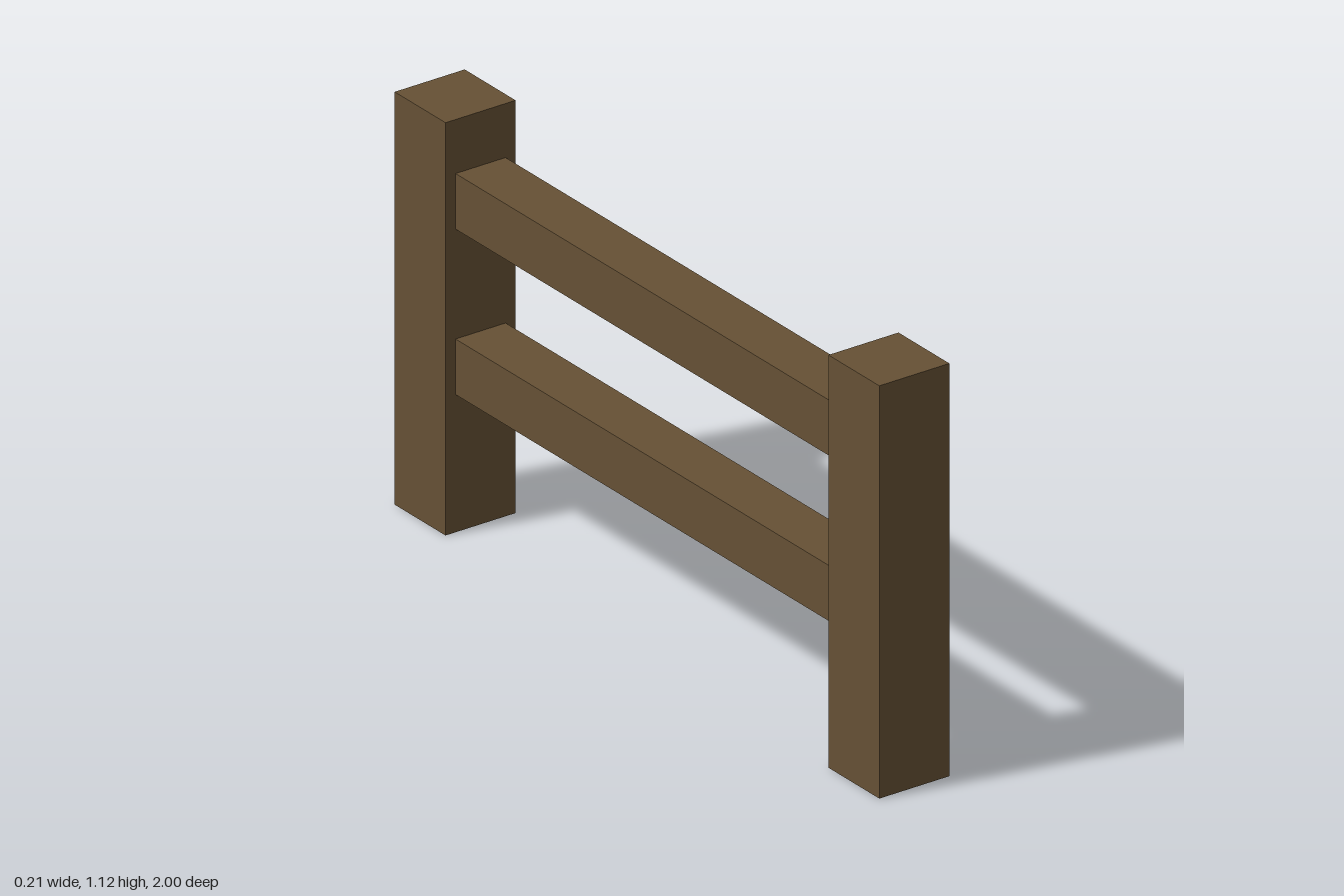
import * as THREE from 'three';

const POST_WIDTH = 0.21;
const POST_HEIGHT = 1.115;
const RAIL_SIZE = 0.15;
const RAIL_LENGTH = 2 - 2 * POST_WIDTH;

export function createModel() {
  const fence = new THREE.Group();
  fence.name = 'fence';
  const wood = new THREE.MeshStandardMaterial({ color: 0x665135, flatShading: true });

  const addBeam = (name, width, height, depth, y, z) => {
    const beam = new THREE.Mesh(new THREE.BoxGeometry(width, height, depth), wood);
    beam.name = name;
    beam.position.set(0, y, z);
    fence.add(beam);
  };

  // Square end posts
  for (const [name, side] of [['frontPost', 1], ['backPost', -1]]) {
    addBeam(name, POST_WIDTH, POST_HEIGHT, POST_WIDTH, POST_HEIGHT / 2, side * (1 - POST_WIDTH / 2));
  }

  // Horizontal rails between the posts
  for (const [name, y] of [['lowerRail', 0.447], ['upperRail', 0.894]]) {
    addBeam(name, RAIL_SIZE, RAIL_SIZE, RAIL_LENGTH, y, 0);
  }

  return fence;
}
